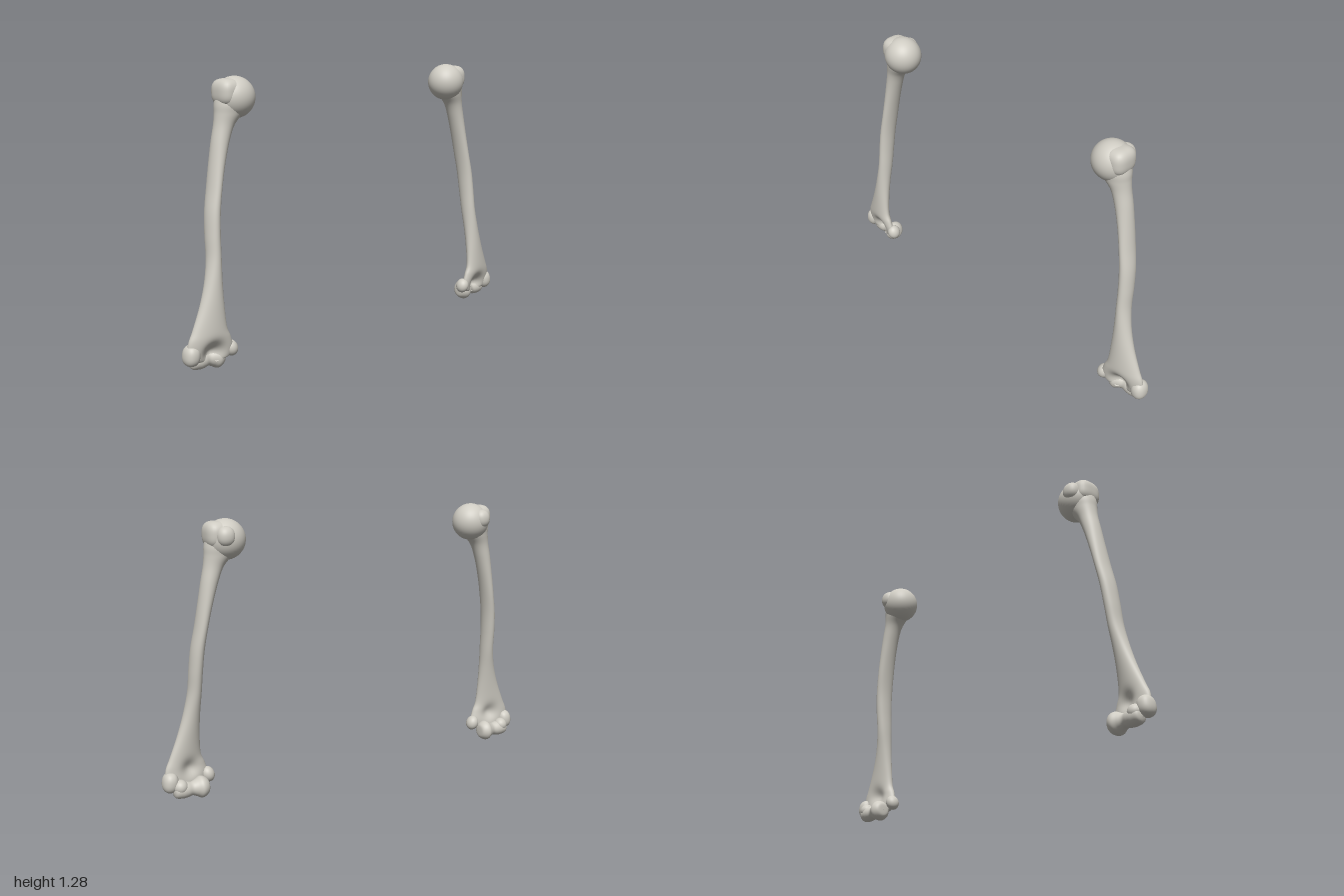
import * as THREE from 'three';

const V = (x, y, z) => new THREE.Vector3(x, y, z);

// Shaft stations, top to bottom: y, inner x, outer x, back z, front z
const STATIONS = [
  [1.21, 0.63, 0.765, -0.055, 0.055],
  [1.16, 0.625, 0.776, -0.062, 0.064],
  [1.12, 0.645, 0.778, -0.056, 0.058],
  [1.07, 0.69, 0.784, -0.046, 0.047],
  [1.0, 0.72, 0.798, -0.044, 0.045],
  [0.9, 0.75, 0.814, -0.042, 0.049],
  [0.8, 0.773, 0.83, -0.038, 0.056],
  [0.7, 0.789, 0.849, -0.029, 0.063],
  [0.6, 0.797, 0.858, -0.018, 0.07],
  [0.5, 0.801, 0.864, -0.004, 0.078],
  [0.4, 0.805, 0.885, 0.01, 0.087],
  [0.3, 0.805, 0.917, 0.018, 0.095],
  [0.2, 0.799, 0.958, 0.022, 0.1],
  [0.15, 0.78, 0.98, 0.022, 0.1],
  [0.1, 0.768, 0.985, 0.022, 0.094],
  [0.06, 0.785, 0.975, 0.028, 0.08],
  [0.045, 0.85, 0.9, 0.045, 0.06],
];

const bump = (x, y, cx, cy, rx, ry) => Math.exp(-(((x - cx) / rx) ** 2) - ((y - cy) / ry) ** 2);

// Lofted shaft flaring into a flat blade, hollowed above the joint
function shaftGeometry() {
  const inner = new THREE.CatmullRomCurve3(STATIONS.map((s) => V(s[1], s[0], s[3])), false, 'catmullrom');
  const outer = new THREE.CatmullRomCurve3(STATIONS.map((s) => V(s[2], s[0], s[4])), false, 'catmullrom');
  const rows = 112, sides = 56, pos = [], index = [];
  for (let r = 0; r <= rows; r++) {
    const p = inner.getPoint(r / rows), q = outer.getPoint(r / rows);
    const cx = (p.x + q.x) / 2, cz = (p.z + q.z) / 2, y = p.y;
    const rx = (q.x - p.x) / 2, rz = (q.z - p.z) / 2;
    const flare = 1 - THREE.MathUtils.smoothstep(y, 0.1, 0.5);
    for (let i = 0; i < sides; i++) {
      const a = (i / sides) * Math.PI * 2, c = Math.cos(a), s = Math.sin(a);
      const x = cx + rx * c;
      // the outer edge of the blade sweeps back
      let z = cz + rz * s * (1 - 0.15 * flare) - flare * 0.014 * c;
      if (s > 0) z -= 0.05 * s * bump(x, y, 0.868, 0.09, 0.045, 0.042);
      else z -= 0.025 * s * bump(x, y, 0.865, 0.14, 0.04, 0.04);
      pos.push(x, y, z);
      if (r < rows) {
        const j = (i + 1) % sides, k = r * sides;
        index.push(k + i, k + j, k + sides + i, k + j, k + sides + j, k + sides + i);
      }
    }
  }
  const g = new THREE.BufferGeometry();
  g.setAttribute('position', new THREE.Float32BufferAttribute(pos, 3));
  g.setIndex(index);
  g.computeVertexNormals();
  return g;
}

// Rounded lump; power above 2 makes it boxier
function lump(center, radii, power = 2, tilt = 0) {
  const g = new THREE.SphereGeometry(1, 40, 28), p = g.attributes.position;
  for (let i = 0; i < p.count; i++) {
    const v = V(0, 0, 0).fromBufferAttribute(p, i);
    const n = (Math.abs(v.x) ** power + Math.abs(v.y) ** power + Math.abs(v.z) ** power) ** (1 / power);
    v.divideScalar(n);
    p.setXYZ(i, v.x, v.y, v.z);
  }
  if (power !== 2) g.computeVertexNormals();
  return g.scale(...radii).rotateZ(tilt).translate(...center);
}

// Grooved spool of the lower joint, lying along x
function spoolGeometry() {
  const profile = new THREE.SplineCurve([
    [0.001, 0.787], [0.03, 0.79], [0.046, 0.806], [0.051, 0.826], [0.04, 0.848], [0.032, 0.87],
    [0.037, 0.895], [0.038, 0.92], [0.03, 0.95], [0.001, 0.96],
  ].map(([r, h]) => new THREE.Vector2(r, h)));
  const pts = profile.getPoints(48).map((p) => new THREE.Vector2(Math.max(p.x, 0.0005), p.y));
  return new THREE.LatheGeometry(pts, 40).rotateZ(-Math.PI / 2).translate(0, 0.051, 0.02);
}

// Mirror across x = 0 and restore the winding
function mirrored(geometry) {
  const g = geometry.clone().scale(-1, 1, 1), ix = g.index;
  for (let i = 0; i < ix.count; i += 3) {
    const b = ix.getX(i + 1);
    ix.setX(i + 1, ix.getX(i + 2));
    ix.setX(i + 2, b);
  }
  return g;
}

export function createModel() {
  const bone = new THREE.MeshStandardMaterial({ color: 0xcfccc3 });
  bone.name = 'bone';

  const parts = {
    shaft: shaftGeometry(),
    head: lump([0.677, 1.187, 0], [0.092, 0.092, 0.09]),
    outerTubercle: lump([0.722, 1.21, 0.002], [0.053, 0.06, 0.066], 2.8),
    backTubercle: lump([0.7, 1.205, -0.058], [0.042, 0.046, 0.042], 2.2),
    jointSpool: spoolGeometry(),
    jointKnob: lump([0.925, 0.07, 0.015], [0.034, 0.034, 0.036]),
    outerEpicondyle: lump([0.964, 0.09, 0.04], [0.036, 0.048, 0.042], 2.3, 0.1),
    innerEpicondyle: lump([0.77, 0.09, 0.062], [0.031, 0.038, 0.034], 2, -0.35),
  };

  const model = new THREE.Group();
  model.name = 'upperArmBones';
  for (const side of ['left', 'right']) {
    const group = new THREE.Group();
    group.name = side + 'ArmBone';
    for (const [name, geometry] of Object.entries(parts)) {
      const mesh = new THREE.Mesh(side === 'left' ? geometry : mirrored(geometry), bone);
      mesh.name = name;
      group.add(mesh);
    }
    model.add(group);
  }
  return model;
}
